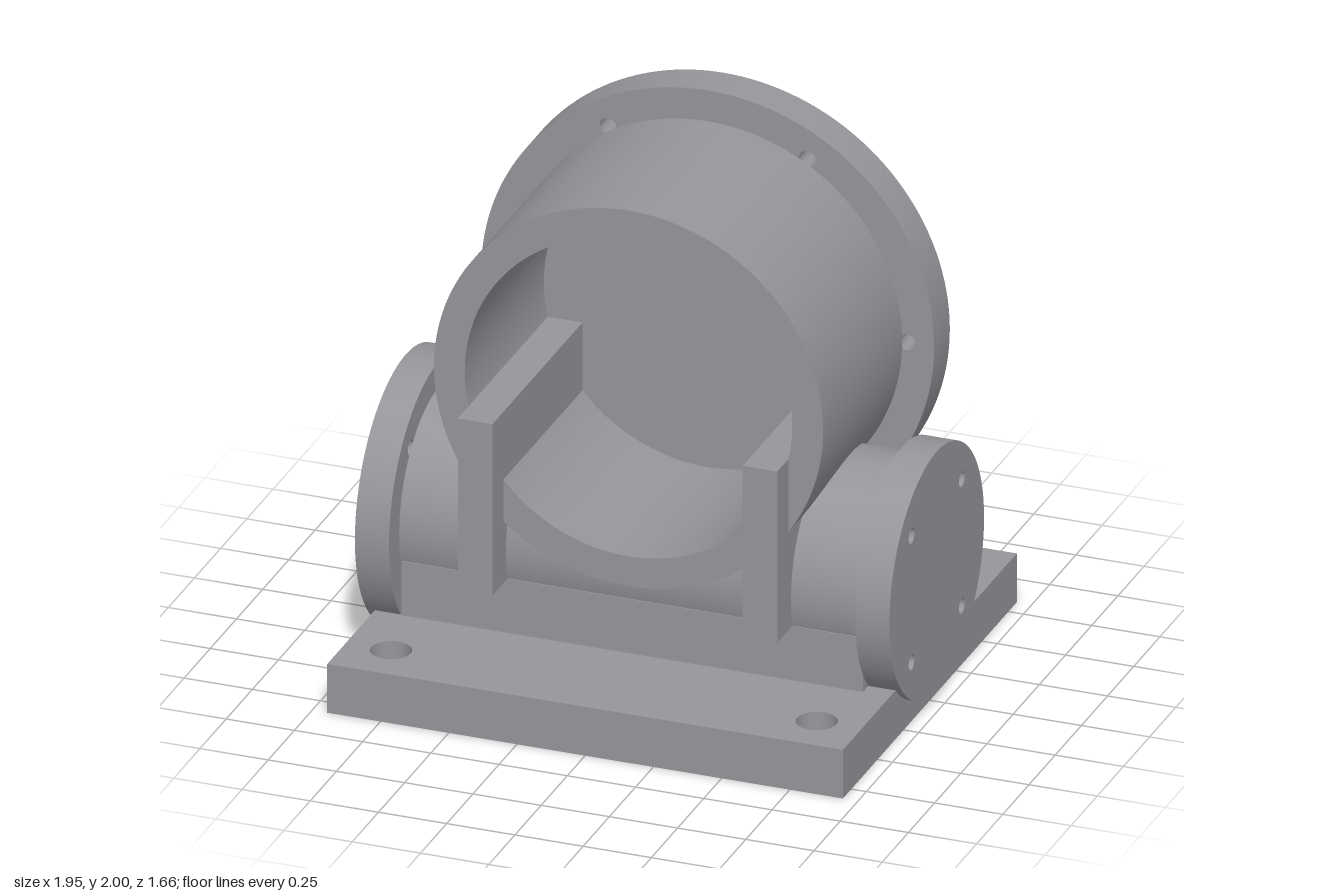
import * as THREE from 'three';
import { toCreasedNormals } from 'three/addons/utils/BufferGeometryUtils.js';

const BORE_Y = 1.17;   // axis height of the main housing
const CROSS_Y = 0.496; // axis height of the cross tube

function circle(shape, x, y, r) {
  shape.absarc(x, y, r, 0, Math.PI * 2, false);
  return shape;
}

// Extrudes a shape along z from 0 to depth, with round holes [x, y, radius].
function plate(shape, holes, depth) {
  for (const [x, y, r] of holes) shape.holes.push(circle(new THREE.Path(), x, y, r));
  const geo = new THREE.ExtrudeGeometry(shape, { depth, bevelEnabled: false, curveSegments: 72 });
  return toCreasedNormals(geo, 0.5);
}

export function createModel() {
  const model = new THREE.Group();
  model.name = 'bearingHousing';
  const metal = new THREE.MeshStandardMaterial({ color: 0x94969a });
  metal.name = 'grey metal';
  const openMetal = new THREE.MeshStandardMaterial({ color: 0x94969a, side: THREE.DoubleSide });
  openMetal.name = 'grey metal open';

  const add = (name, geo, x = 0, y = 0, z = 0, material = metal) => {
    const mesh = new THREE.Mesh(geo, material);
    mesh.name = name;
    mesh.position.set(x, y, z);
    model.add(mesh);
    return mesh;
  };

  // Base plate with four mounting holes
  const base = new THREE.Shape([
    new THREE.Vector2(-0.945, -0.83), new THREE.Vector2(0.945, -0.83),
    new THREE.Vector2(0.945, 0.83), new THREE.Vector2(-0.945, 0.83),
  ]);
  const mounts = [];
  for (const x of [-0.78, 0.78]) for (const z of [-0.65, 0.65]) mounts.push([x, z, 0.072]);
  add('basePlate', plate(base, mounts, 0.185).rotateX(-Math.PI / 2));

  // Pedestal under the cross tube
  add('pedestal', new THREE.BoxGeometry(1.69, 0.21, 0.76), 0, 0.285, 0);

  // Main housing, open at the front
  add('mainHousing', plate(circle(new THREE.Shape(), 0, 0, 0.713), [[0, 0, 0.6]], 0.755), 0, BORE_Y, -0.34);

  // Round back flange with six bolt holes
  const backHoles = [];
  for (let i = 0; i < 6; i++) {
    const a = i * Math.PI / 3;
    backHoles.push([0.73 * Math.cos(a), 0.73 * Math.sin(a), 0.03]);
  }
  add('backFlange', plate(circle(new THREE.Shape(), 0, 0, 0.83), backHoles, 0.15), 0, BORE_Y, -0.49);

  // Cross tube halves, their inner ends trimmed to lie within the housing wall
  for (const side of [-1, 1]) {
    const tube = new THREE.CylinderGeometry(0.39, 0.39, 1, 128, 1, true).rotateZ(-Math.PI / 2);
    const p = tube.attributes.position;
    for (let i = 0; i < p.count; i++) {
      const dy = p.getY(i) + CROSS_Y - BORE_Y;
      const inner = Math.sqrt(Math.max(0, 0.66 * 0.66 - dy * dy));
      p.setX(i, side * (p.getX(i) * side > 0 ? 0.85 : inner));
    }
    add(side > 0 ? 'leftCrossTube' : 'rightCrossTube', tube, 0, CROSS_Y, 0, openMetal);

    // Closing wall behind the bolt holes of the end flange
    const cap = new THREE.CircleGeometry(0.39, 96).rotateY(side * Math.PI / 2);
    add(side > 0 ? 'leftTubeEnd' : 'rightTubeEnd', cap, side * 0.851, CROSS_Y, 0);
  }

  // End flanges of the cross tube, the right one larger
  const endFlange = (name, radius, offset, x) => {
    const holes = [];
    for (const a of [-1, 1]) for (const b of [-1, 1]) holes.push([a * offset, b * offset, 0.028]);
    const geo = plate(circle(new THREE.Shape(), 0, 0, radius), holes, 0.125).rotateY(Math.PI / 2);
    add(name, geo, x, CROSS_Y, 0);
  };
  endFlange('leftEndFlange', 0.452, 0.24, 0.845);
  endFlange('rightEndFlange', 0.487, 0.28, -0.975);

  // Upright ribs running right through the housing
  for (const side of [-1, 1]) {
    add(side > 0 ? 'leftRib' : 'rightRib', new THREE.BoxGeometry(0.127, 0.65, 1.04), side * 0.522, 0.715, 0);
  }
  return model;
}
